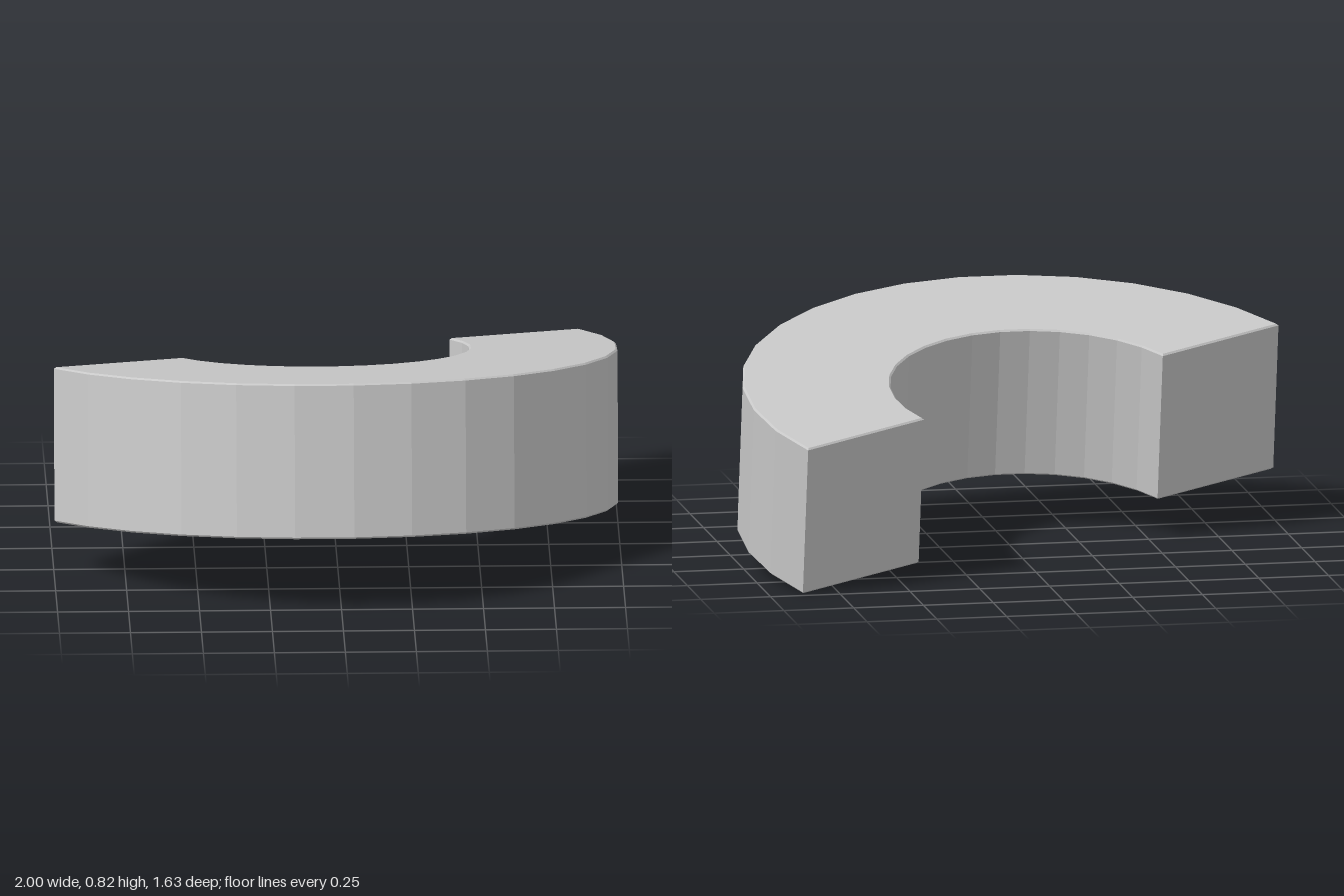
import * as THREE from 'three';

export function createModel() {
  const group = new THREE.Group();
  const grey = new THREE.MeshStandardMaterial({ color: 0xc8c8c8 });
  grey.name = 'light grey';

  // half-ring outline: 16 facets per arc
  const outer = 1.063, inner = 0.54, height = 0.55, bevel = 0.006, steps = 16;
  const start = THREE.MathUtils.degToRad(-28.1);
  const arc = (r) => Array.from({ length: steps + 1 }, (_, i) => {
    const a = start + (i / steps) * Math.PI;
    return new THREE.Vector2(r * Math.cos(a), -r * Math.sin(a));
  });
  const shape = new THREE.Shape([...arc(outer), ...arc(inner).reverse()]);

  // extruded upward with very slightly softened rims
  const geometry = new THREE.ExtrudeGeometry(shape, {
    depth: height - 2 * bevel,
    bevelEnabled: true,
    bevelSegments: 1,
    bevelSize: bevel,
    bevelThickness: bevel,
    bevelOffset: -bevel,
  });
  geometry.rotateX(-Math.PI / 2);
  // tilt: the front is raised
  geometry.rotateX(THREE.MathUtils.degToRad(-10.45));

  // centre on x and z, stand on the ground
  geometry.computeBoundingBox();
  const { min, max } = geometry.boundingBox;
  geometry.translate(-(min.x + max.x) / 2, -min.y, -(min.z + max.z) / 2);

  const ring = new THREE.Mesh(geometry, grey);
  ring.name = 'halfRing';
  group.add(ring);
  return group;
}
